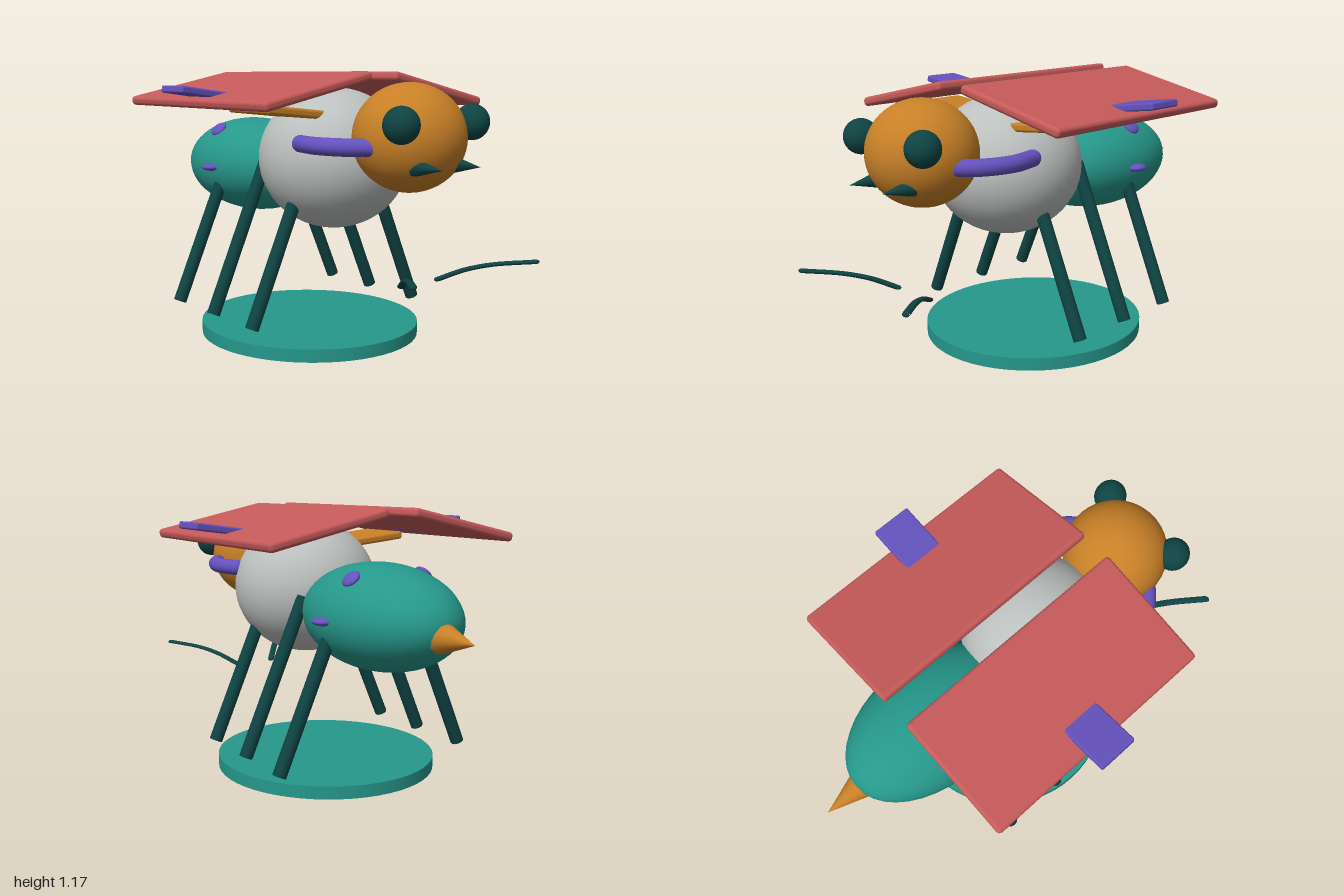
import * as THREE from 'three';
import { RoundedBoxGeometry } from 'three/addons/geometries/RoundedBoxGeometry.js';

const mat = (name, color) => {
  const m = new THREE.MeshStandardMaterial({ color });
  m.name = name;
  return m;
};

export function createModel() {
  const model = new THREE.Group();
  model.name = 'insect';

  const orange = mat('orange', 0xc88027);
  const grey = mat('pale grey', 0xbcc0be);
  const teal = mat('teal', 0x26988b);
  const dark = mat('dark teal', 0x0f4444);
  const red = mat('red', 0xc65a5a);
  const purple = mat('purple', 0x6552be);

  const add = (name, geometry, material, x = 0, y = 0, z = 0) => {
    const mesh = new THREE.Mesh(geometry, material);
    mesh.name = name;
    mesh.position.set(x, y, z);
    model.add(mesh);
    return mesh;
  };
  const ball = (rx, ry, rz, w = 40, h = 28) => new THREE.SphereGeometry(1, w, h).scale(rx, ry, rz);
  const vec = (x, y, z) => new THREE.Vector3(x, y, z);

  // Cylinder between two points
  const rod = (name, a, b, r, material) => {
    const mesh = add(name, new THREE.CylinderGeometry(r, r, a.distanceTo(b), 12), material);
    mesh.position.copy(a).add(b).multiplyScalar(0.5);
    mesh.quaternion.setFromUnitVectors(vec(0, 1, 0), b.clone().sub(a).normalize());
  };

  // Base disc
  add('base', new THREE.CylinderGeometry(1, 1, 0.055, 56).scale(0.484, 1, 0.5), teal, 0, 0.0275, -0.01);

  // Body
  add('head', ball(0.226, 0.215, 0.225), orange, 0, 0.912, 0.62);
  add('thorax', ball(0.323, 0.302, 0.325), grey, 0, 0.8, 0.16);
  add('abdomen', ball(0.27, 0.22, 0.42), teal, 0, 0.731, -0.428);
  add('stinger', new THREE.ConeGeometry(0.063, 0.18, 20).rotateX(-Math.PI / 2), orange, 0, 0.7, -0.91);

  for (const s of [1, -1]) {
    // Face
    add('eye', ball(0.069, 0.071, 0.071, 24, 16), dark, s * 0.19, 0.973, 0.77);
    add('mandible', new THREE.ConeGeometry(0.035, 0.14, 10).rotateX(Math.PI / 2), dark, s * 0.102, 0.812, 0.825);

    // Curved tubes from thorax to head, with rounded ends
    const arm = [[0.285, 0.295], [0.306, 0.42], [0.268, 0.55], [0.19, 0.635]].map(([x, z]) => vec(s * x, 0.882, z));
    add('sideTube', new THREE.TubeGeometry(new THREE.CatmullRomCurve3(arm), 24, 0.035, 14), purple);
    for (const p of [arm[0], arm[3]]) add('sideTubeEnd', ball(0.035, 0.035, 0.035, 14, 10), purple, p.x, p.y, p.z);

    // Wings and the small plates attached to them
    const plates = [
      ['wing', 0.534, 0.04, 1.05, 0.016, red, 0.323, 1.094, -0.048, -0.218],
      ['wingTipPlate', 0.26, 0.03, 0.171, 0.008, purple, 0.541, 1.08, -0.048, 0.14],
      ['wingRoot', 0.3, 0.036, 0.285, 0.012, orange, 0.305, 1.006, 0.172, 0.1],
    ];
    for (const [name, w, h, d, r, m, x, y, z, tilt] of plates) {
      add(name, new RoundedBoxGeometry(w, h, d, 3, r), m, s * x, y, z).rotation.z = s * tilt;
    }

    // Legs
    for (const z of [0.19, -0.105, -0.394]) {
      rod('leg', vec(s * 0.457, 0.122, z), vec(s * 0.17, 0.785, z), 0.029, dark);
    }

    // Abdomen spots
    add('upperSpot', ball(0.04, 0.018, 0.042, 18, 12), purple, s * 0.178, 0.898, -0.48).rotation.z = -s * 0.75;
    add('sideSpot', ball(0.045, 0.018, 0.05, 18, 12), purple, s * 0.264, 0.729, -0.412);

    // Flattened feelers, floating low in front
    const feeler = [[0.1, 0.345, 0.69], [0.165, 0.39, 0.775], [0.23, 0.417, 0.86], [0.335, 0.436, 0.988]]
      .map(([x, y, z]) => vec(s * x, y * 2, z));
    const strip = new THREE.TubeGeometry(new THREE.CatmullRomCurve3(feeler), 20, 0.016, 8).scale(1, 0.5, 1);
    const feelerMesh = add('feeler', strip, dark);
    feelerMesh.geometry.computeVertexNormals();
    for (const p of [feeler[0], feeler[3]]) {
      add('feelerEnd', ball(0.016, 0.008, 0.012, 8, 6), dark, p.x, p.y / 2, p.z);
    }
  }

  return model;
}
